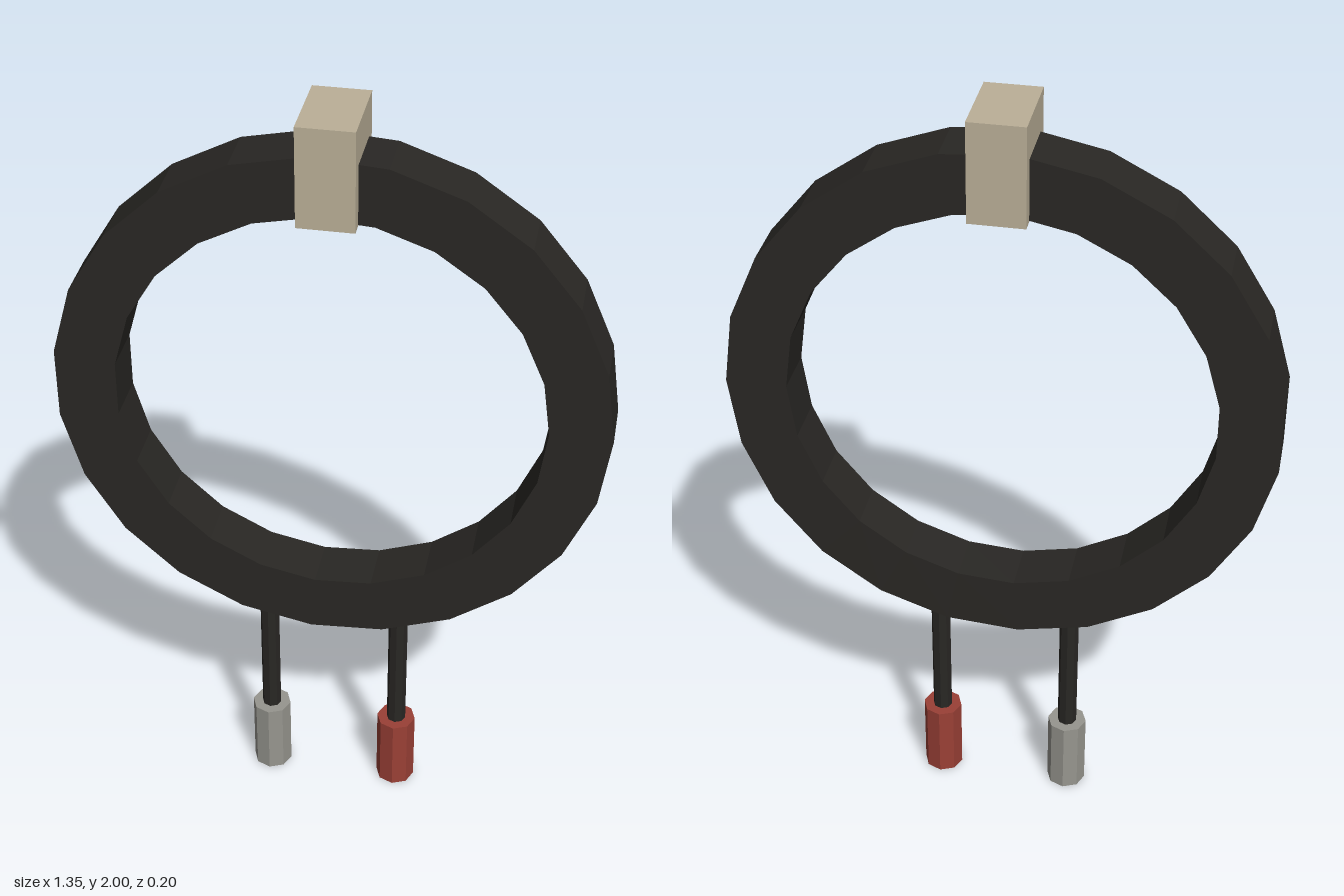
import * as THREE from 'three';

const material = (color) => new THREE.MeshStandardMaterial({ color, flatShading: true });

function addPart(parent, name, geometry, mat, x = 0, y = 0, z = 0) {
  const mesh = new THREE.Mesh(geometry, mat);
  mesh.name = name;
  mesh.position.set(x, y, z);
  parent.add(mesh);
  return mesh;
}

export function createModel() {
  const model = new THREE.Group();
  model.name = 'ringWithLeads';
  const black = material(0x292724);
  const beige = material(0xbbb098);

  // Square-section hoop, lathed around y then stood upright with a corner at +x
  const inner = 0.528, outer = 0.68, half = 0.068;
  const section = [
    [inner, -half], [outer, -half], [outer, half], [inner, half], [inner, -half],
  ].map(([r, h]) => new THREE.Vector2(r, h));
  const hoop = new THREE.LatheGeometry(section, 23, Math.PI / 2);
  hoop.rotateX(Math.PI / 2).scale(1, -1, -1);
  addPart(model, 'hoop', hoop, black, 0, 1.233, 0);

  // Block clamped over the top of the hoop
  addPart(model, 'topBlock', new THREE.BoxGeometry(0.137, 0.25, 0.205), beige, 0, 1.875, 0);

  // Two hanging wires, each ending in a coloured plug
  const leads = [
    ['left', 0.171, 0x9a4036],
    ['right', -0.171, 0x97968f],
  ];
  for (const [side, x, color] of leads) {
    const lead = new THREE.Group();
    lead.name = side + 'Lead';
    lead.position.x = x;
    addPart(lead, side + 'Wire', new THREE.CylinderGeometry(0.025, 0.025, 0.36, 8), black, 0, 0.37, 0);
    addPart(lead, side + 'Plug', new THREE.CylinderGeometry(0.051, 0.051, 0.205, 8), material(color), 0, 0.1025, 0);
    model.add(lead);
  }
  return model;
}
